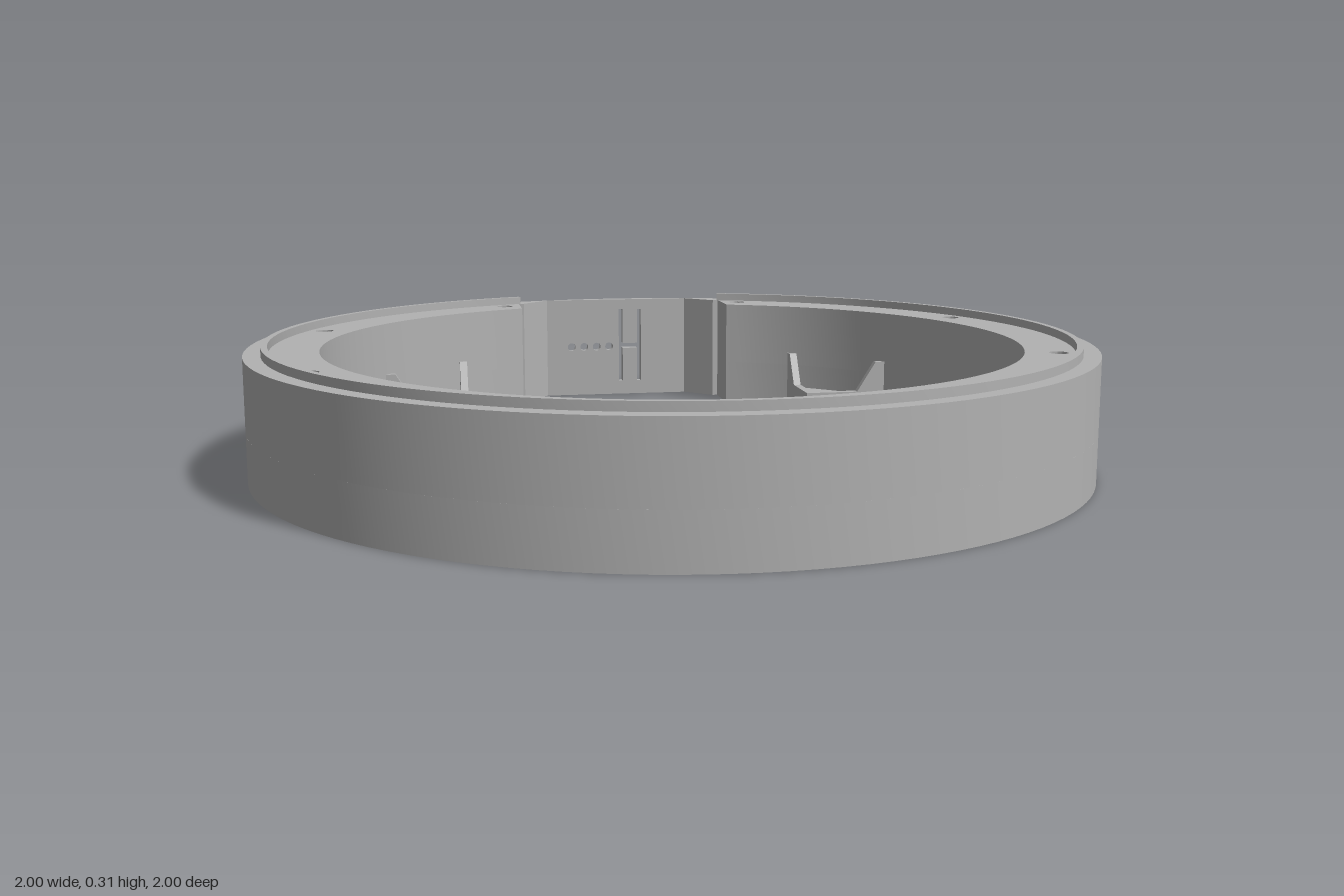
import * as THREE from 'three';
import { mergeGeometries, toCreasedNormals } from 'three/addons/utils/BufferGeometryUtils.js';

const HEIGHT = 0.29, NOTCH = 0.12, INNER = 0.83;
const rad = (d) => d * Math.PI / 180;

// Points along an arc; angle 90 degrees is the back
function arc(r, a0, a1) {
  const n = Math.max(2, Math.ceil(Math.abs(a1 - a0) / 3));
  return Array.from({ length: n + 1 }, (_, i) => {
    const a = rad(a0 + (a1 - a0) * i / n);
    return new THREE.Vector2(r * Math.cos(a), r * Math.sin(a));
  });
}

function circle(x, y, r) {
  return new THREE.Path().absarc(x, y, r, 0, Math.PI * 2);
}

function poly(points) {
  return new THREE.Shape(points.map((p) => (p.isVector2 ? p : new THREE.Vector2(...p))));
}

// Extrude a plan shape upwards from y0 to y1
function slab(shape, y0, y1) {
  return new THREE.ExtrudeGeometry(shape, { depth: y1 - y0, bevelEnabled: false, curveSegments: 14 })
    .rotateX(-Math.PI / 2).translate(0, y0, 0);
}

export function createModel() {
  const model = new THREE.Group();
  const grey = new THREE.MeshStandardMaterial({ color: 0xb2b2b2 });
  grey.name = 'grey plastic';

  function add(name, geometries, parent = model) {
    const mesh = new THREE.Mesh(toCreasedNormals(mergeGeometries(geometries), 0.5), grey);
    mesh.name = name;
    parent.add(mesh);
  }

  // Stepped ends of the ring beside the back opening
  const endRight = [[0.21, 0.973], [0.285, 0.9], [0.3, 0.9]];
  const endLeft = endRight.map(([x, y]) => [-x, y]).reverse();
  const gapOuter = Math.acos(0.21) * 180 / Math.PI;
  const gapInner = Math.acos(0.3 / INNER) * 180 / Math.PI;
  const cutOuter = Math.asin(0.175) * 180 / Math.PI;
  const cutInner = Math.asin(0.175 / INNER) * 180 / Math.PI;

  // Screw holes: wide below, narrow above
  const screws = [];
  for (const sx of [-1, 1]) for (const sy of [-1, 1]) {
    screws.push([0.345 * sx, 0.837 * sy], [0.835 * sx, 0.35 * sy]);
  }
  function drill(shape, r, keep = () => true) {
    for (const [x, y] of screws) if (keep(x, y)) shape.holes.push(circle(x, y, r));
    return shape;
  }

  // Upper ring
  const upper = drill(poly([
    ...arc(1, 180 - gapOuter, 360 + gapOuter), ...endRight,
    ...arc(INNER, 360 + gapInner, 180 - gapInner), ...endLeft,
  ]), 0.022);
  add('upperRing', [slab(upper, NOTCH, HEIGHT)]);

  // Lower ring, split by the side notch
  const inShort = (x, y) => x > 0 && y > 0;
  const shortPiece = drill(poly([
    ...arc(1, cutOuter, gapOuter), ...endRight, ...arc(INNER, gapInner, cutInner),
  ]), 0.043, inShort);
  const longPiece = drill(poly([
    ...arc(1, 180 - gapOuter, 360 - cutOuter),
    ...arc(INNER, 360 - cutInner, 180 - gapInner), ...endLeft,
  ]), 0.043, (x, y) => !inShort(x, y));
  add('lowerRing', [slab(shortPiece, 0, NOTCH), slab(longPiece, 0, NOTCH)]);

  // Raised lip on the top
  const lipEnd = Math.acos(0.3 / 0.96) * 180 / Math.PI;
  add('topLip', [slab(poly([
    ...arc(0.96, 180 - lipEnd, 360 + lipEnd), ...arc(0.945, 360 + lipEnd, 180 - lipEnd),
  ]), HEIGHT, 0.31)]);

  // Thin back wall in upright strips: flat inside, round outside
  function strip(x0, x1, y0 = 0, y1 = HEIGHT, hole = false) {
    const shape = poly([[x0, y0], [x1, y0], [x1, y1], [x0, y1]]);
    if (hole) shape.holes.push(circle((x0 + x1) / 2, 0.147, 0.012));
    const geo = new THREE.ExtrudeGeometry(shape, { depth: 1, bevelEnabled: false, curveSegments: 10 });
    const p = geo.attributes.position;
    for (let i = 0; i < p.count; i++) {
      p.setZ(i, p.getZ(i) > 0.5 ? -0.973 : -Math.sqrt(1 - p.getX(i) ** 2));
    }
    geo.computeVertexNormals();
    return geo;
  }
  const wall = [];
  for (const [x0, x1] of [[-0.21, -0.18], [-0.18, -0.155], [-0.003, 0.008], [0.076, 0.12], [0.12, 0.165], [0.165, 0.21]]) {
    wall.push(strip(x0, x1));
  }
  // Row of small holes
  for (let i = 0; i < 4; i++) wall.push(strip(-0.155 + i * 0.038, -0.117 + i * 0.038, 0, HEIGHT, true));
  // Two upright slots joined by a level slot
  for (const x of [0.008, 0.064]) wall.push(strip(x, x + 0.012, 0, 0.04), strip(x, x + 0.012, 0.26, HEIGHT));
  wall.push(strip(0.02, 0.064, 0, 0.141), strip(0.02, 0.064, 0.156, HEIGHT));
  add('backWall', wall);

  // Four corner brackets with gusset ribs
  const plate = poly([[0.465, -0.465], [0.465, -0.695], [0.6, -0.6], [0.695, -0.465]]);
  plate.holes.push(circle(0.56, -0.56, 0.017));
  const ribShape = poly([[0.465, 0], [0.695, 0], [0.695, 0.155], [0.662, 0.155], [0.61, 0.072], [0.465, 0.072]]);
  const rib = () => new THREE.ExtrudeGeometry(ribShape, { depth: 0.02, bevelEnabled: false });
  for (let k = 0; k < 4; k++) {
    const bracket = new THREE.Group();
    bracket.name = 'cornerBracket' + (k + 1);
    bracket.rotation.y = k * Math.PI / 2;
    add('bracketPlate', [slab(plate, 0, 0.055)], bracket);
    add('bracketRibs', [
      rib().translate(0, 0, 0.465),
      rib().rotateY(-Math.PI / 2).translate(0.485, 0, 0),
    ], bracket);
    model.add(bracket);
  }
  return model;
}
